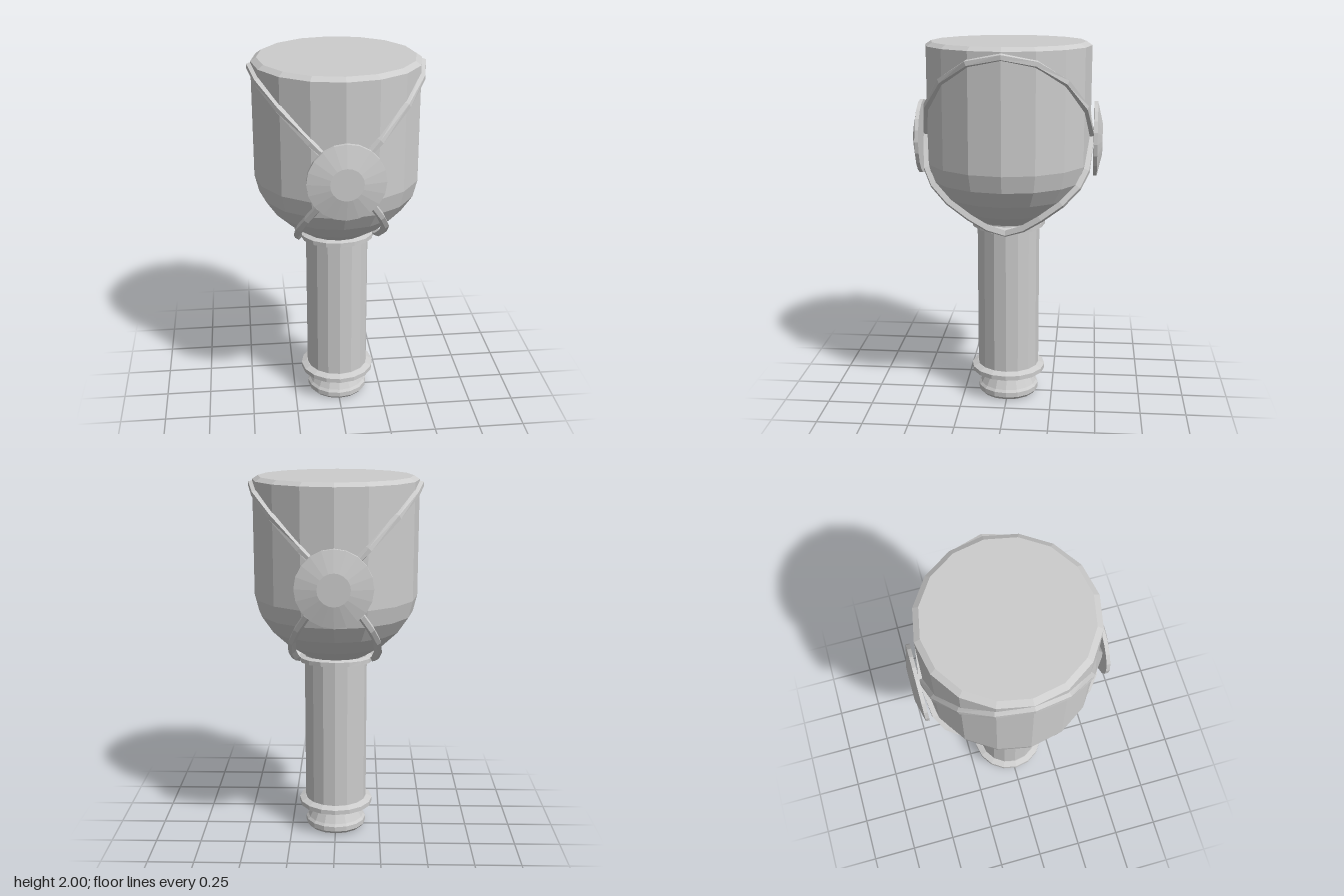
import * as THREE from 'three';

const SIDES = 16;

// Hard-edged faces
function faceted(geometry) {
  const g = geometry.index ? geometry.toNonIndexed() : geometry;
  g.computeVertexNormals();
  return g;
}

// Turned part from [radius, height] pairs, bottom to top
function turned(profile, sides = SIDES) {
  return faceted(new THREE.LatheGeometry(profile.map(p => new THREE.Vector2(p[0], p[1])), sides));
}

// Closed cord along a loop of points; outward(p) gives the direction away from the body
function cord(points, outward, section) {
  const n = points.length, m = section.length, pos = [], index = [];
  points.forEach((p, i) => {
    const t = points[(i + 1) % n].clone().sub(points[(i + n - 1) % n]).normalize();
    const out = outward(p);
    out.addScaledVector(t, -out.dot(t)).normalize();
    const across = out.clone().cross(t);
    for (const [u, v] of section) {
      const q = p.clone().addScaledVector(across, u).addScaledVector(out, v);
      pos.push(q.x, q.y, q.z);
    }
    for (let j = 0; j < m; j++) {
      const a = i * m + j, b = i * m + (j + 1) % m;
      const c = ((i + 1) % n) * m + j, d = ((i + 1) % n) * m + (j + 1) % m;
      index.push(a, b, c, b, d, c);
    }
  });
  const g = new THREE.BufferGeometry();
  g.setAttribute('position', new THREE.Float32BufferAttribute(pos, 3));
  g.setIndex(index);
  return faceted(g);
}

export function createModel() {
  const model = new THREE.Group();
  model.name = 'stemmedVessel';
  const grey = new THREE.MeshStandardMaterial({ color: 0xcccccc });
  grey.name = 'plain grey';

  const add = (name, geometry) => {
    const mesh = new THREE.Mesh(geometry, grey);
    mesh.name = name;
    model.add(mesh);
    return mesh;
  };

  // Foot, flange, shaft and the round-bottomed head
  add('foot', turned([[0, 0], [0.155, 0.008], [0.17, 0.025], [0.17, 0.052], [0.158, 0.065], [0.125, 0.13], [0.12, 0.15]]));
  add('flange', turned([[0, 0.145], [0.207, 0.145], [0.207, 0.17], [0.175, 0.184], [0, 0.184]]));
  add('shaft', turned([[0, 0.17], [0.172, 0.17], [0.172, 1.05], [0, 1.05]]));
  add('head', turned([[0, 1.01], [0.17, 1.03], [0.27, 1.095], [0.36, 1.18], [0.42, 1.268],
    [0.443, 1.36], [0.443, 1.98], [0.413, 2], [0, 2]]));

  // Cord section: wide on the inside, narrow on the outside
  const section = [[-0.02, -0.014], [0.02, -0.014], [0.012, 0.014], [-0.012, 0.014]];

  // Side cords: up over the head, then back under it to the neck
  const loop = [];
  for (let i = 0; i <= 8; i++) {
    const a = Math.PI * i / 8;
    loop.push(new THREE.Vector3(0.45 * Math.sin(a), 1.5 + 0.455 * Math.sin(a), 0.45 * Math.cos(a)));
  }
  const under = [[0.14, 1.335, 0.428], [0.19, 1.255, 0.385], [0.225, 1.17, 0.3], [0.232, 1.09, 0.19], [0.22, 1.03, 0.095]];
  under.forEach(([x, y, z]) => loop.push(new THREE.Vector3(x, y, -z)));
  loop.push(new THREE.Vector3(0.205, 0.998, 0));
  under.reverse().forEach(([x, y, z]) => loop.push(new THREE.Vector3(x, y, z)));
  const cordGeometry = cord(loop, p => new THREE.Vector3(p.x, Math.min(p.y - 1.4, 0), p.z), section);
  add('leftCord', cordGeometry);
  add('rightCord', cordGeometry).rotation.y = Math.PI;

  // Collar round the neck, dipping at the sides
  const ring = [];
  for (let i = 0; i < SIDES; i++) {
    const a = 2 * Math.PI * i / SIDES;
    ring.push(new THREE.Vector3(0.188 * Math.sin(a), 1.004 + 0.012 * Math.cos(a) ** 2, 0.188 * Math.cos(a)));
  }
  add('neckCollar', cord(ring, p => new THREE.Vector3(p.x, 0, p.z), section));

  // Domed discs where the cords meet, front and back
  const disc = turned([[0, 0], [0.2, 0], [0.2, 0.02], [0.085, 0.047], [0, 0.047]], 20);
  for (const s of [1, -1]) {
    const mesh = add(s > 0 ? 'frontDisc' : 'backDisc', disc);
    mesh.rotation.x = s * Math.PI / 2;
    mesh.position.set(0, 1.485, s * 0.46);
  }
  return model;
}
